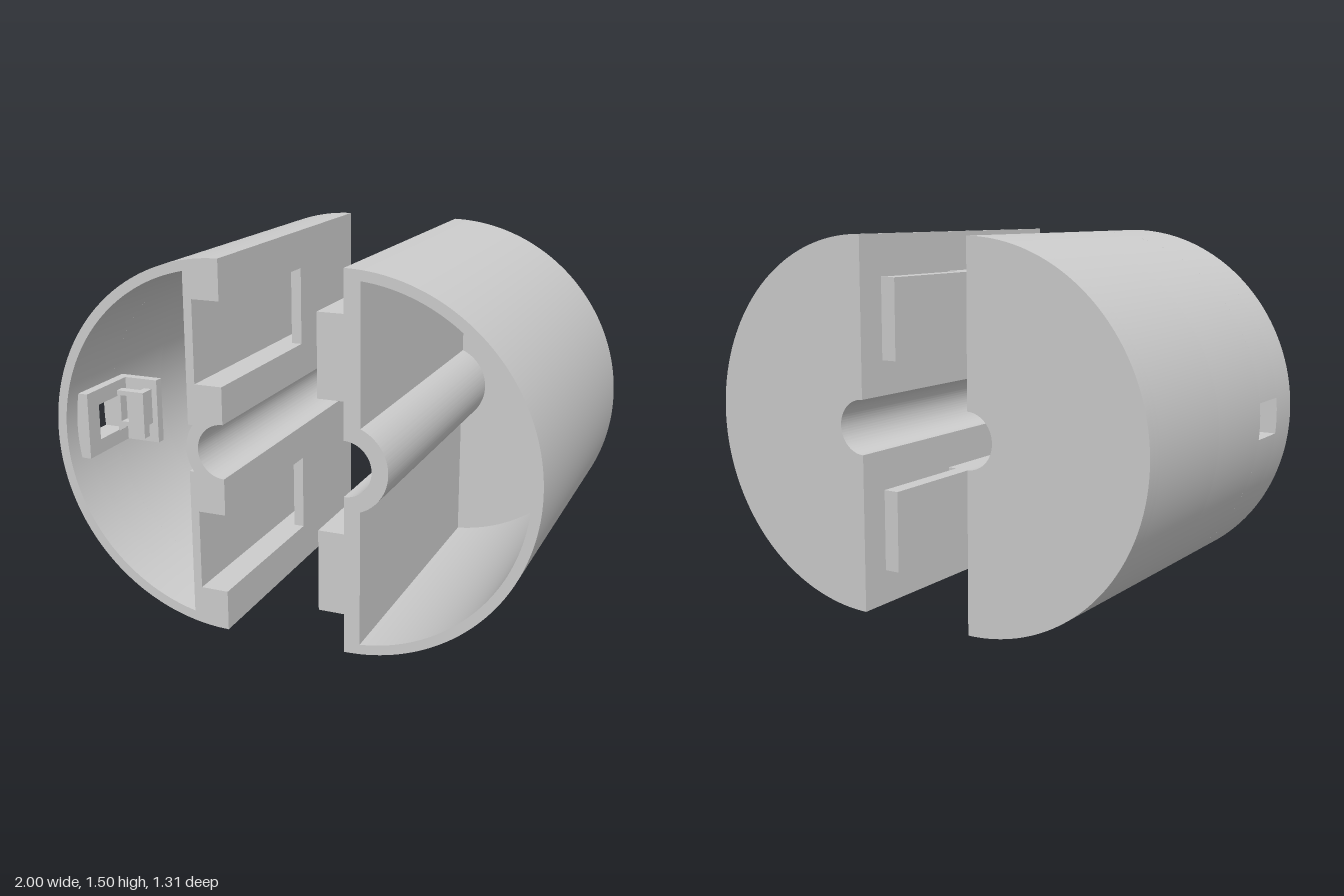
import * as THREE from 'three';
import { toCreasedNormals } from 'three/addons/utils/BufferGeometryUtils.js';

const PI = Math.PI;
const CX = -0.25, CY = 0.75;          // axis of a half shell
const R = 0.75, R_IN = 0.71, R_BORE = 0.11;
const BACK = -0.655, FRONT = 0.655;
const SLOTS = [[0.165, 0.49], [1.01, 1.34]];
const PORT = { y: 0.075, z0: 0.32, z1: 0.5 };

const material = new THREE.MeshStandardMaterial({ color: 0xcccccc });

function add(parent, name, geometry) {
  const mesh = new THREE.Mesh(geometry, material);
  mesh.name = name;
  parent.add(mesh);
  return mesh;
}

function box(parent, name, [x0, x1], [y0, y1], [z0, z1]) {
  const mesh = add(parent, name, new THREE.BoxGeometry(x1 - x0, y1 - y0, z1 - z0));
  mesh.position.set((x0 + x1) / 2, (y0 + y1) / 2, (z0 + z1) / 2);
  return mesh;
}

function extrude(shape, z0, z1) {
  const g = new THREE.ExtrudeGeometry(shape, { depth: z1 - z0, bevelEnabled: false, curveSegments: 48 });
  g.translate(0, 0, z0);
  return toCreasedNormals(g, 0.5);
}

function rect(path, x0, x1, y0, y1) {
  path.moveTo(x0, y0).lineTo(x1, y0).lineTo(x1, y1).lineTo(x0, y1).closePath();
  return path;
}

// Cross-section of a half shell: the round side faces -x, the flat side +x
function section({ wall, tubeR, tubeA, cavity = true, port = false, slots = 'none' }) {
  const s = new THREE.Shape();
  const a = Math.acos((wall - CX) / R_IN);
  const dy = tubeR * Math.sin(tubeA);
  s.moveTo(CX, CY + R);
  if (port) {
    // The outline turns in through the port and runs round the cavity
    const o = Math.asin(PORT.y / R), i = Math.asin(PORT.y / R_IN);
    s.absarc(CX, CY, R, PI / 2, PI - o, false);
    s.absarc(CX, CY, R_IN, PI - i, a, true);
    s.lineTo(wall, CY + dy);
    s.absarc(CX, CY, tubeR, PI - tubeA, PI + tubeA, false);
    s.lineTo(wall, CY - dy);
    s.absarc(CX, CY, R_IN, 2 * PI - a, PI + i, true);
    s.absarc(CX, CY, R, PI + o, 1.5 * PI, false);
  } else {
    s.absarc(CX, CY, R, PI / 2, 1.5 * PI, false);
    if (cavity) {
      const hole = new THREE.Path();
      hole.absarc(CX, CY, R_IN, a, 2 * PI - a, false);
      hole.lineTo(wall, CY - dy);
      hole.absarc(CX, CY, tubeR, PI + tubeA, PI - tubeA, true);
      hole.lineTo(wall, CY + dy);
      hole.closePath();
      s.holes.push(hole);
    }
  }
  // Flat face with the two slots and the half bore
  const notch = ([y0, y1]) => {
    if (slots === 'open') s.lineTo(CX, y0).lineTo(-0.365, y0).lineTo(-0.365, y1).lineTo(CX, y1);
    if (slots === 'pocket') s.holes.push(rect(new THREE.Path(), -0.365, -0.295, y0, y1));
  };
  notch(SLOTS[0]);
  s.absarc(CX, CY, R_BORE, 1.5 * PI, PI / 2, true);
  notch(SLOTS[1]);
  s.closePath();
  return s;
}

// Stack of sections along z: [z0, z1, options]
function shell(parent, name, base, layers) {
  const group = new THREE.Group();
  group.name = name;
  for (const [z0, z1, part, options] of layers)
    add(group, part, extrude(section({ ...base, ...options }), z0, z1));
  parent.add(group);
  return group;
}

export function createModel() {
  const model = new THREE.Group();
  model.name = 'splitCylinderCase';

  // Half with slots and port
  const open = { slots: 'open' };
  const slotted = shell(model, 'slottedHalf', { wall: -0.4, tubeR: 0.161, tubeA: 0.632 }, [
    [BACK, -0.615, 'backPlate', { cavity: false }],
    [-0.615, -0.58, 'shellBack', {}],
    [-0.58, -0.085, 'shellPocket', { slots: 'pocket' }],
    [-0.085, PORT.z0, 'shellMiddle', open],
    [PORT.z0, PORT.z1, 'shellPort', { ...open, port: true }],
    [PORT.z1, FRONT, 'shellFront', open],
  ]);

  // Mounting pegs on the inside of the flat wall
  [[1.125, 0.2], [1.045, -0.2], [0.665, 0.2], [0.46, -0.2]].forEach(([y, z]) => {
    const peg = add(slotted, 'peg', new THREE.CylinderGeometry(0.021, 0.021, 0.11, 24));
    peg.rotation.z = PI / 2;
    peg.position.set(-0.445, y, z);
  });

  // Socket mount behind the port: framed plate, stop and bracket
  const frame = rect(new THREE.Shape(), 0.25, 0.58, 0.615, 0.89);
  frame.holes.push(rect(new THREE.Path(), PORT.z0, PORT.z1, CY - PORT.y, CY + PORT.y));
  const plate = extrude(frame, 0, 0.06);
  plate.rotateY(-PI / 2);
  plate.translate(-0.905, 0, 0);
  add(slotted, 'portPlate', plate);
  box(slotted, 'portStop', [-0.905, -0.755], [0.615, 0.89], [0.25, 0.29]);
  const bracket = new THREE.Shape([
    [-0.905, 0.67], [-0.855, 0.7], [-0.815, 0.69], [-0.815, 0.65], [-0.78, 0.65], [-0.78, 0.85], [-0.905, 0.85],
  ].map(([x, y]) => new THREE.Vector2(x, y)));
  bracket.holes.push(rect(new THREE.Path(), -0.89, -0.855, 0.715, 0.83));
  add(slotted, 'portBracket', extrude(bracket, 0.32, 0.36));
  box(slotted, 'bracketWeb', [-0.815, -0.78], [0.7, 0.85], [0.29, 0.32]);

  // Half with hooks, turned to face the slotted half
  const hooked = shell(model, 'hookedHalf', { wall: -0.315, tubeR: 0.175, tubeA: Math.acos(0.065 / 0.175) }, [
    [BACK, -0.615, 'backPlate', { cavity: false }],
    [-0.615, FRONT, 'shell', {}],
  ]);
  for (const ys of SLOTS) {
    box(hooked, 'hookRail', [CX, -0.145], ys, [-0.085, FRONT]);
    box(hooked, 'hookArm', [-0.21, -0.145], ys, [-0.575, -0.085]);
  }
  hooked.rotation.z = PI;
  hooked.position.y = 2 * CY;

  return model;
}
